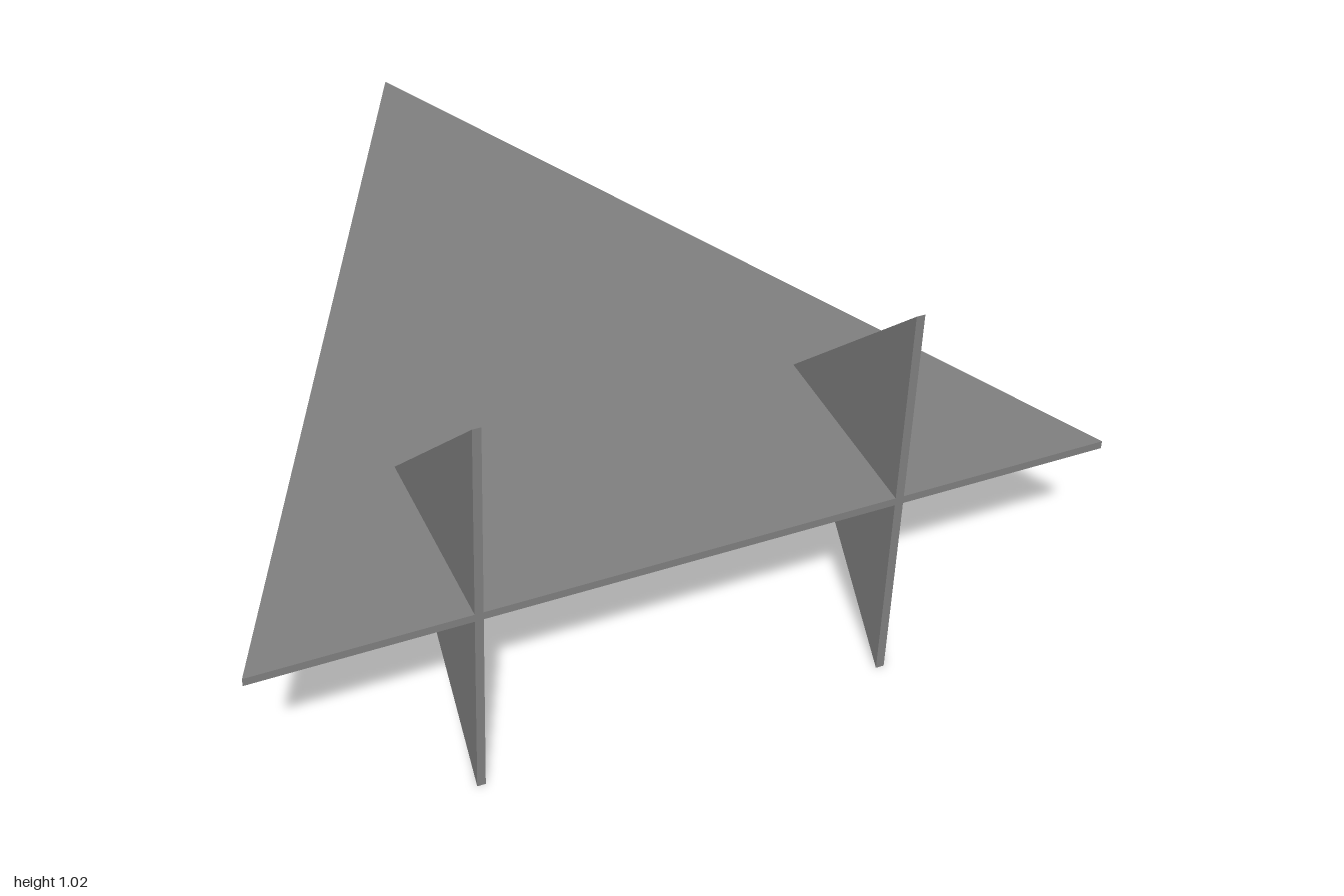
import * as THREE from 'three';

const THICK = 0.02;

// Flat triangular plate, extruded by the common thickness along +z
function plate(points, material, name) {
  const shape = new THREE.Shape(points.map(([x, y]) => new THREE.Vector2(x, y)));
  const geometry = new THREE.ExtrudeGeometry(shape, { depth: THICK, bevelEnabled: false });
  const mesh = new THREE.Mesh(geometry, material);
  mesh.name = name;
  return mesh;
}

export function createModel() {
  const group = new THREE.Group();
  group.name = 'deltaCraft';
  const grey = new THREE.MeshStandardMaterial({ color: 0x808080 });
  grey.name = 'hull grey';

  // Delta wing lying flat, pointing to -z, from y = 0.50 to 0.52
  const wing = plate([[-1, -1], [1, -1], [0, 1]], grey, 'wing');
  wing.rotation.x = -Math.PI / 2;
  wing.position.y = 0.5;
  group.add(wing);

  // Upright fins above and below the wing, on both sides
  for (const [side, x] of [['left', 0.48], ['right', -0.5]]) {
    const fins = new THREE.Group();
    fins.name = side + 'Fins';
    // shape x runs along -z, extrusion runs along +x
    const upper = plate([[-1, 0.52], [-0.5, 0.52], [-1, 1.02]], grey, side + 'UpperFin');
    const lower = plate([[-1, 0], [-0.5, 0.5], [-1, 0.5]], grey, side + 'LowerFin');
    fins.add(upper, lower);
    fins.rotation.y = Math.PI / 2;
    fins.position.x = x;
    group.add(fins);
  }
  return group;
}
